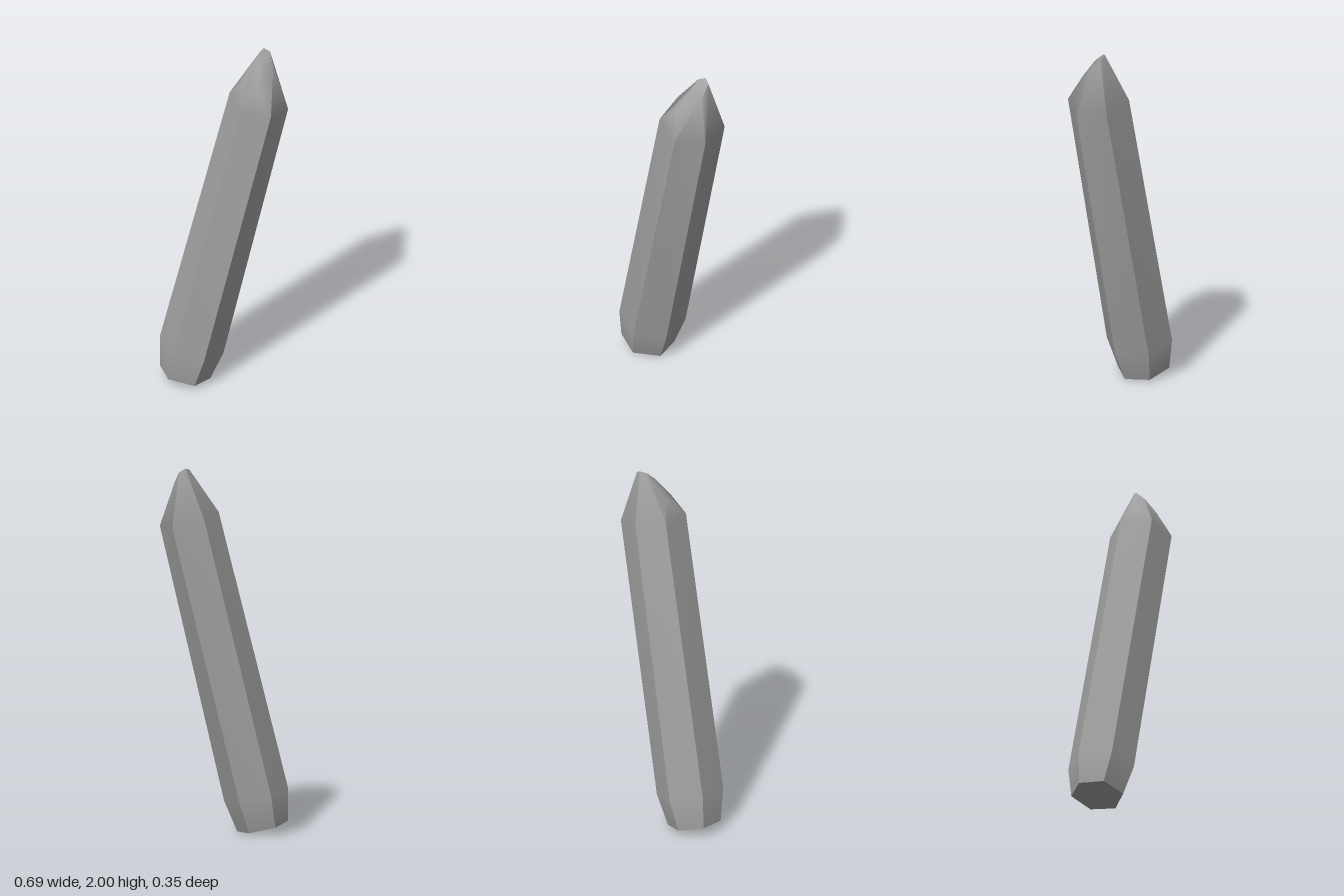
import * as THREE from 'three';
import { ConvexGeometry } from 'three/addons/geometries/ConvexGeometry.js';

// Area-weighted smooth normals that stay sharp across edges over the crease angle
function creaseNormals(geometry, degrees) {
  const pos = geometry.attributes.position;
  const limit = Math.cos(THREE.MathUtils.degToRad(degrees));
  const corners = [], faceNormals = [];
  for (let i = 0; i < pos.count; i++) corners.push(new THREE.Vector3().fromBufferAttribute(pos, i));
  for (let i = 0; i < pos.count; i += 3) {
    const [a, b, c] = corners.slice(i, i + 3);
    faceNormals.push(b.clone().sub(a).cross(c.clone().sub(a)));
  }
  const units = faceNormals.map((n) => n.clone().normalize());
  const normals = new Float32Array(pos.count * 3);
  corners.forEach((p, i) => {
    const own = units[Math.floor(i / 3)];
    const sum = new THREE.Vector3();
    corners.forEach((q, j) => {
      const f = Math.floor(j / 3);
      if (p.distanceTo(q) < 1e-5 && units[f].dot(own) > limit) sum.add(faceNormals[f]);
    });
    sum.normalize().toArray(normals, i * 3);
  });
  geometry.setAttribute('normal', new THREE.BufferAttribute(normals, 3));
  return geometry;
}

export function createModel() {
  const stone = new THREE.MeshStandardMaterial({ color: 0xa0a0a0 });
  stone.name = 'grey stone';

  // Leaning hexagonal prism: base, lower and shoulder rings, then the chipped tip
  const base = [
    [-0.345, 0.065, -0.025], [-0.305, 0.055, 0.11], [-0.165, 0.025, 0.137],
    [-0.075, 0.004, 0.02], [-0.125, 0.015, -0.11], [-0.265, 0.047, -0.135],
  ];
  const lower = [
    [-0.343, 0.25, -0.03], [-0.277, 0.235, 0.145], [-0.115, 0.195, 0.172],
    [-0.005, 0.17, 0.033], [-0.07, 0.185, -0.145], [-0.238, 0.225, -0.174],
  ];
  const shoulder = [
    [0.03, 1.755, -0.022], [0.085, 1.74, 0.145], [0.245, 1.70, 0.16],
    [0.342, 1.675, 0.03], [0.292, 1.69, -0.137], [0.12, 1.73, -0.157],
  ];
  const tip = [
    [0.095, 1.845, 0.03], [0.18, 1.83, 0.105],
    [0.19, 1.99, -0.037], [0.215, 2.0, -0.067], [0.248, 1.98, -0.062],
    [0.193, 1.94, 0.018], [0.264, 1.92, -0.005],
  ];
  const points = [...base, ...lower, ...shoulder, ...tip].map((p) => new THREE.Vector3(...p));
  const crystal = new THREE.Mesh(creaseNormals(new ConvexGeometry(points), 45), stone);
  crystal.name = 'crystal';

  const group = new THREE.Group();
  group.name = 'leaningCrystal';
  group.add(crystal);
  // Stand it on the ground
  group.position.y = -new THREE.Box3().setFromObject(crystal).min.y;
  return group;
}
